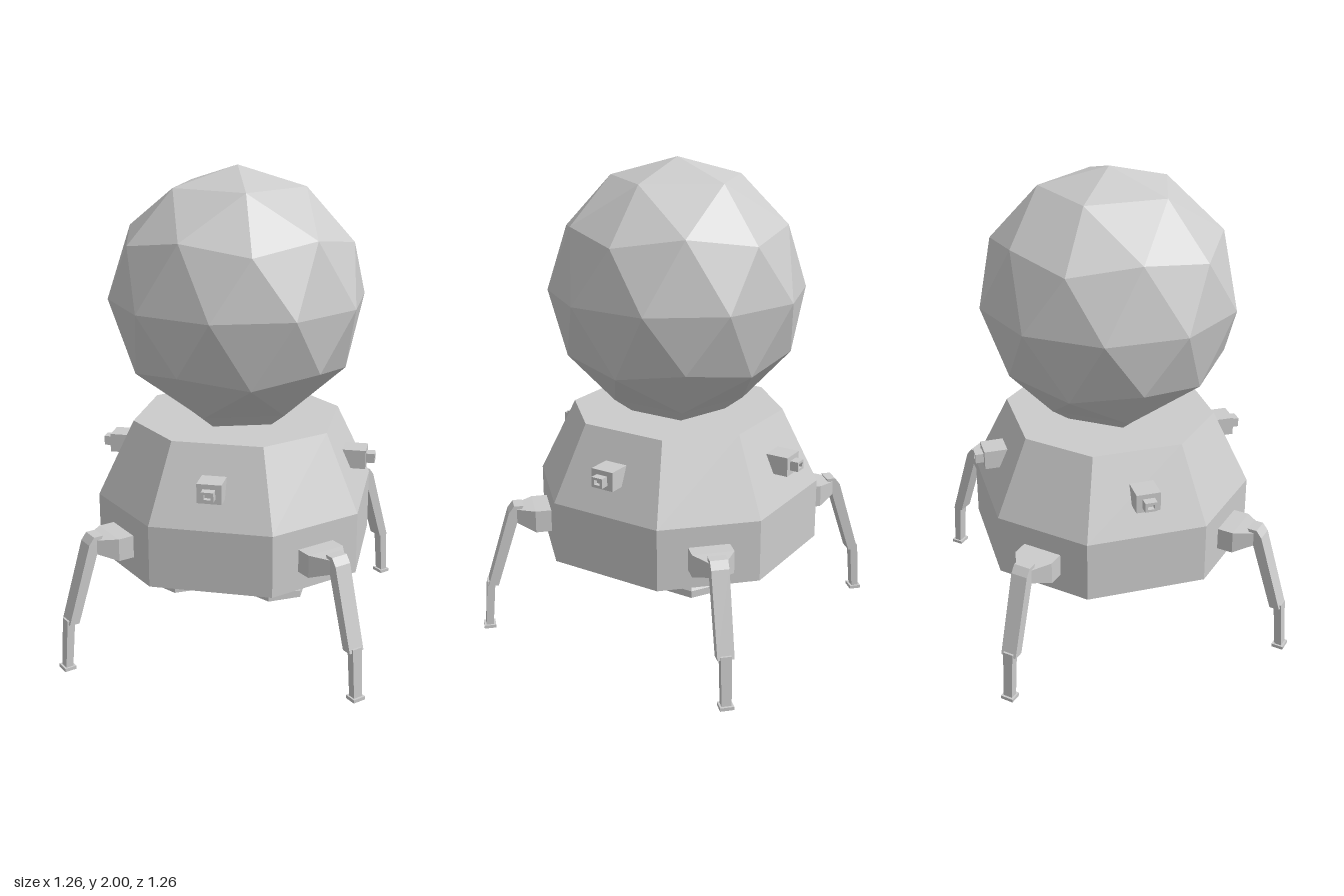
import * as THREE from 'three';

const material = new THREE.MeshStandardMaterial({ color: 0xcccccc, flatShading: true });

// Skin a list of equal-length rings (counter-clockwise seen from the far end) and cap both ends
function loft(name, rings) {
  const n = rings[0].length, index = [];
  for (let r = 0; r < rings.length - 1; r++) {
    for (let i = 0; i < n; i++) {
      const a = r * n + i, b = r * n + (i + 1) % n;
      index.push(a, b, b + n, a, b + n, a + n);
    }
  }
  const last = (rings.length - 1) * n;
  for (let i = 1; i < n - 1; i++) {
    index.push(0, i + 1, i, last, last + i, last + i + 1);
  }
  const indexed = new THREE.BufferGeometry();
  indexed.setAttribute('position', new THREE.Float32BufferAttribute(rings.flat(2), 3));
  indexed.setIndex(index);
  const geometry = indexed.toNonIndexed();
  geometry.computeVertexNormals();
  return named(name, geometry);
}

function named(name, geometry) {
  const mesh = new THREE.Mesh(geometry, material);
  mesh.name = name;
  return mesh;
}

// Regular horizontal ring, for lofting upwards
function polygon(sides, radius, y, start) {
  return Array.from({ length: sides }, (_, i) => {
    const a = start + i * 2 * Math.PI / sides;
    return [radius * Math.cos(a), y, -radius * Math.sin(a)];
  });
}

// Chamfered square ring of the hull
function octagon(scale, y) {
  const c = 0.25 * scale, e = 0.547 * scale;
  return [[c, e], [e, c], [e, -c], [c, -e], [-c, -e], [-e, -c], [-e, c], [-c, e]]
    .map(([x, z]) => [x, y, z]);
}

// Rectangle facing +z, for lofting outwards
const upright = (w, y0, y1, z) => [[-w, y0, z], [w, y0, z], [w, y1, z], [-w, y1, z]];

// Rectangle lying flat, for lofting upwards
const flat = (w, z0, z1, y) => [[-w, y, z1], [w, y, z1], [w, y, z0], [-w, y, z0]];

function thruster() {
  return loft('thruster', [
    upright(0.05, 0.76, 0.84, 0.44),
    upright(0.05, 0.76, 0.84, 0.555),
    upright(0.025, 0.78, 0.82, 0.555),
    upright(0.025, 0.78, 0.82, 0.59),
    upright(0.014, 0.79, 0.81, 0.59),
    upright(0.014, 0.79, 0.81, 0.57),
  ]);
}

// Landing leg pointing along +z
function landingLeg() {
  const leg = new THREE.Group();
  leg.name = 'landingLeg';
  leg.add(
    loft('legBracket', [
      upright(0.085, 0.46, 0.555, 0.54),
      upright(0.085, 0.46, 0.555, 0.63),
      upright(0.035, 0.49, 0.55, 0.705),
    ]),
    loft('upperLeg', [
      flat(0.034, 0.795, 0.838, 0.205),
      flat(0.036, 0.69, 0.738, 0.535),
      flat(0.036, 0.675, 0.715, 0.565),
    ]),
    loft('lowerLeg', [
      flat(0.02, 0.825, 0.856, 0.01),
      flat(0.022, 0.808, 0.842, 0.22),
    ]),
    loft('footPad', [
      flat(0.028, 0.815, 0.865, 0),
      flat(0.028, 0.815, 0.865, 0.014),
    ]),
  );
  return leg;
}

// Hexagonal bell, hollow from below
function engineNozzle() {
  const a = Math.PI / 2;
  return loft('engineNozzle', [
    polygon(6, 0.06, 0.35, a),
    polygon(6, 0.115, 0.255, a),
    polygon(6, 0.14, 0.255, a),
    polygon(6, 0.14, 0.285, a),
    polygon(6, 0.07, 0.39, a),
  ]);
}

export function createModel() {
  const model = new THREE.Group();
  model.name = 'lander';

  // Faceted cabin, turned so a vertex points straight up
  const sphere = new THREE.IcosahedronGeometry(0.535, 1);
  sphere.rotateZ(Math.atan(2 / (1 + Math.sqrt(5))));
  sphere.rotateY(Math.PI);
  sphere.translate(0, 1.465, 0);
  model.add(named('cabin', sphere));

  // Tapered neck under the cabin
  model.add(loft('neck', [
    polygon(5, 0.2, 0.95, Math.PI),
    polygon(5, 0.281, 1.01, Math.PI),
  ]));

  // Descent stage hull
  model.add(loft('hull', [octagon(1, 0.38), octagon(1, 0.64), octagon(0.743, 0.955)]));

  // Thrusters on the sides, legs and nozzles on the diagonals
  for (let i = 0; i < 4; i++) {
    const side = thruster();
    side.rotation.y = i * Math.PI / 2;
    const leg = landingLeg();
    leg.rotation.y = Math.PI / 4 + i * Math.PI / 2;
    const nozzle = engineNozzle();
    nozzle.position.set(i % 2 ? 0.2 : -0.2, 0, i < 2 ? 0.2 : -0.2);
    model.add(side, leg, nozzle);
  }
  return model;
}
